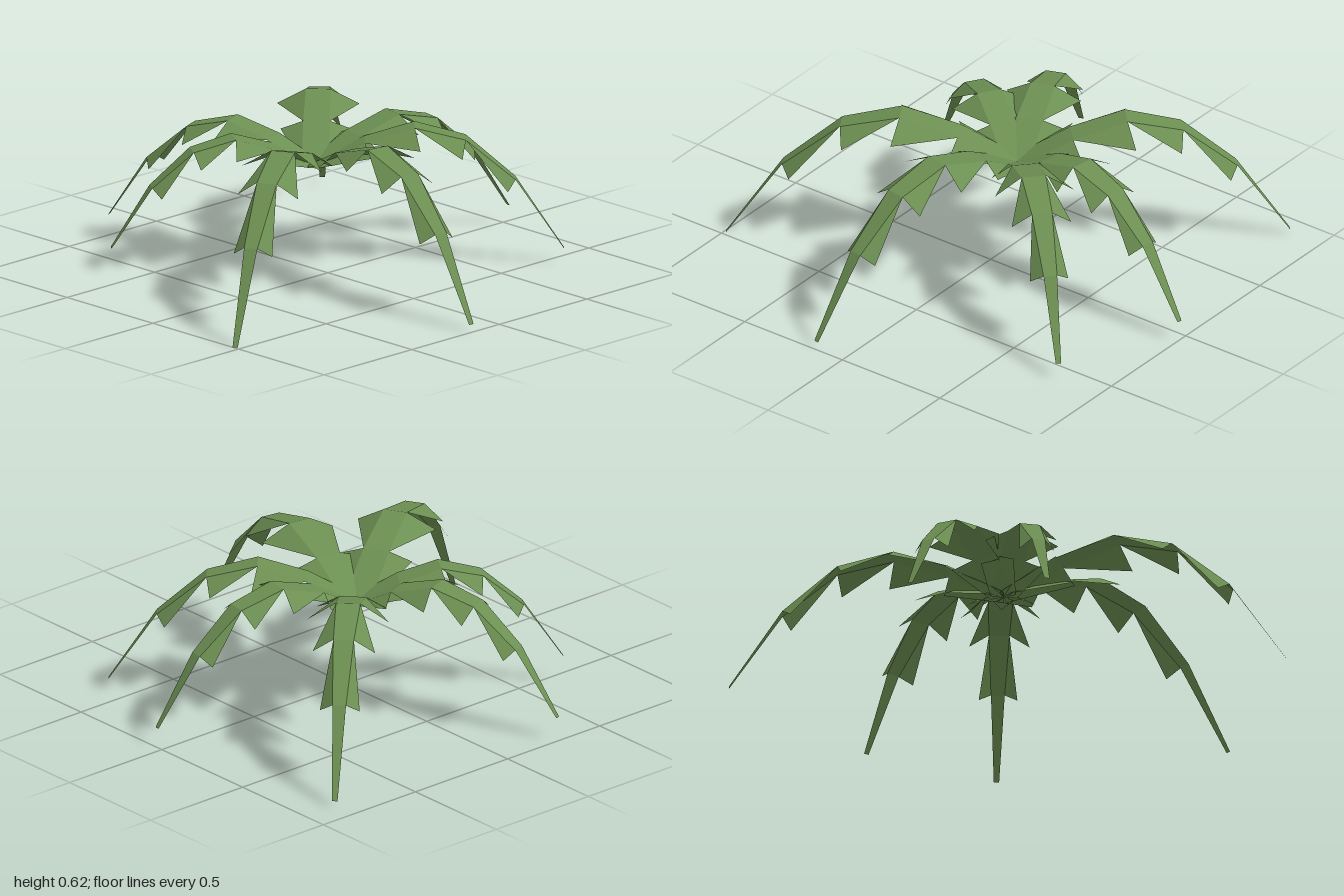
import * as THREE from 'three';

// Frond profile: [distance, height, ribbon half width] as the frond arches out.
// Distance and height are fractions of the frond length.
const SPINE = [
  [0, 0, 0.055], [0.2, 0.105, 0.055], [0.4, 0.166, 0.05],
  [0.605, 0.112, 0.042], [0.805, -0.06, 0.028], [1, -0.355, 0.011],
];
// Leaf flaps hanging off each segment: [half width, drop]
const FLAPS = [[0.145, 0.045], [0.165, 0.07], [0.125, 0.062], [0.08, 0.05]];
// Frond tips on the ground plane: [x, z]
const TIPS = [
  [-0.995, 0.475], [-0.145, 0.985], [0.785, 0.575], [0.995, 0.035],
  [0.85, -0.9], [-0.285, -0.985], [-0.67, -0.58],
];
const CENTER = new THREE.Vector3(0.045, 0.43, -0.12);

function facets(points) {
  const g = new THREE.BufferGeometry().setFromPoints(points);
  g.computeVertexNormals();
  return g;
}

// Tapering central strip, running along +z
function ribbonGeometry(length) {
  const pts = [];
  for (let i = 0; i < SPINE.length - 1; i++) {
    const [a, b, c, d] = [[i, -1], [i + 1, -1], [i + 1, 1], [i, 1]].map(([k, s]) =>
      new THREE.Vector3(s * SPINE[k][2], SPINE[k][1] * length, SPINE[k][0] * length));
    pts.push(a, b, c, a, c, d);
  }
  return facets(pts);
}

// Triangular flaps folded down on both sides of the strip
function flapGeometry(length) {
  const pts = [];
  const scale = 0.6 + 0.4 * Math.min(length / 1.05, 1.05);
  FLAPS.forEach(([half, drop], i) => {
    const [z0, y0, w0] = SPINE[i], [z1, y1, w1] = SPINE[i + 1];
    const along = new THREE.Vector2(z1 - z0, y1 - y0).normalize();
    for (const s of [-1, 1]) {
      const a = new THREE.Vector3(s * w0, y0 * length, z0 * length);
      const b = new THREE.Vector3(s * w1, y1 * length, z1 * length);
      const tooth = new THREE.Vector3(
        s * half * scale,
        y1 * length - along.x * drop * scale,
        z1 * length + along.y * drop * scale);
      pts.push(...(s > 0 ? [a, b, tooth] : [a, tooth, b]));
    }
  });
  return facets(pts);
}

export function createModel() {
  const model = new THREE.Group();
  model.name = 'palmCrown';
  const leafGreen = new THREE.MeshStandardMaterial({ color: 0x6c8f52 });
  leafGreen.name = 'leafGreen';
  leafGreen.side = THREE.DoubleSide;
  leafGreen.flatShading = true;

  TIPS.forEach(([x, z], i) => {
    const dx = x - CENTER.x, dz = z - CENTER.z;
    const length = Math.hypot(dx, dz);
    const frond = new THREE.Group();
    frond.name = `frond${i + 1}`;
    const ribbon = new THREE.Mesh(ribbonGeometry(length), leafGreen);
    ribbon.name = 'frondRibbon';
    const flaps = new THREE.Mesh(flapGeometry(length), leafGreen);
    flaps.name = 'leafFlaps';
    frond.add(ribbon, flaps);
    frond.position.copy(CENTER);
    frond.rotation.y = Math.atan2(dx, dz);
    model.add(frond);
  });
  return model;
}
